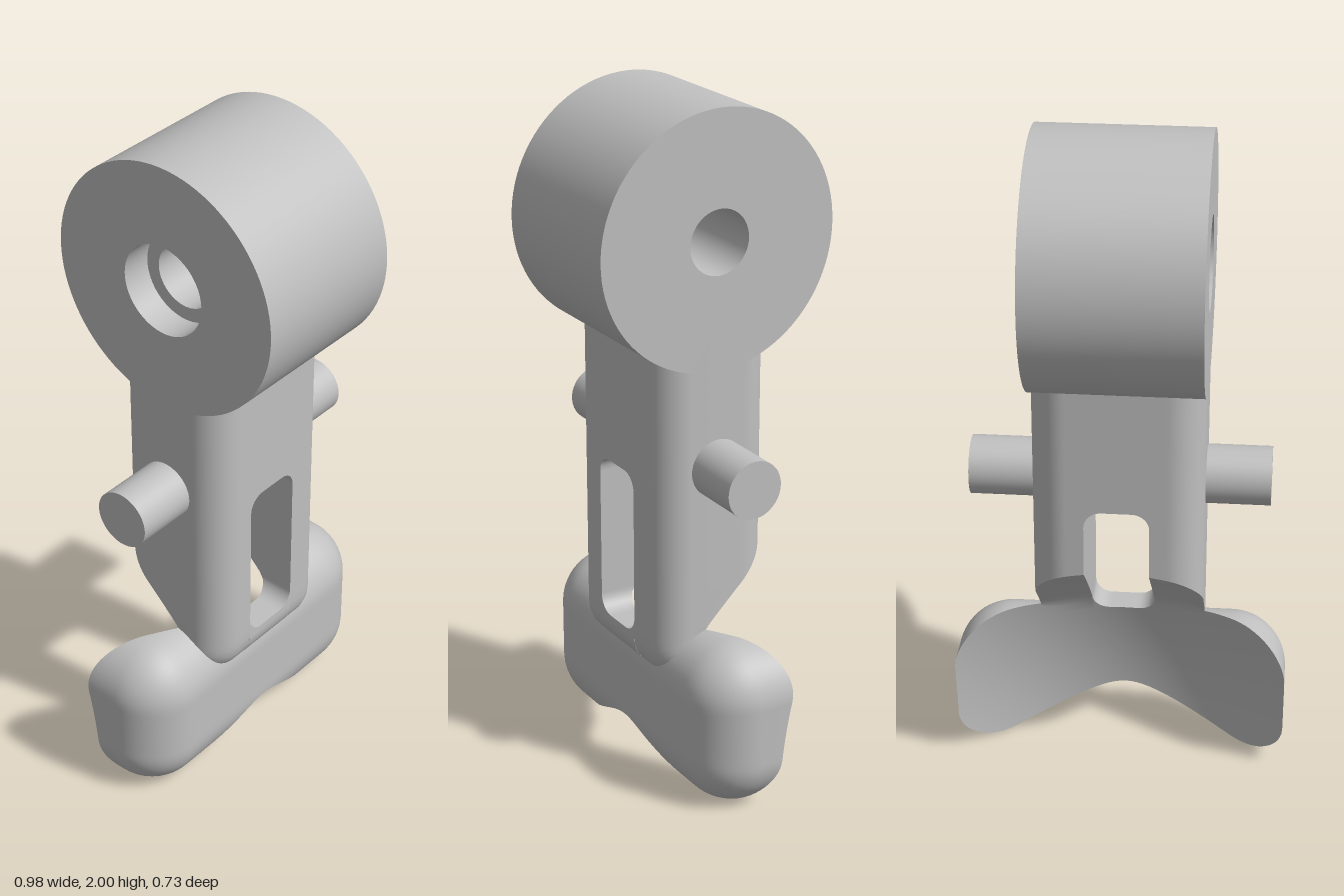
import * as THREE from 'three';
import { toCreasedNormals } from 'three/addons/utils/BufferGeometryUtils.js';

const SLOT = { half: 0.093, lo: 0.445, hi: 0.94, r: 0.05 };
const FOOT = { hx: 0.49, hz: 0.163, lo: -0.013, hi: 0.49, r: 0.163 };
const SHANK = { hx: 0.245, hz: 0.183, lo: 0.33, hi: 9, r: 0.1 };
const SHANK_TOP = 1.4;

// Concave rear surface, hollowed sideways and leaning back above the foot
const cut = (x, y) =>
  0.168 - 0.35 * y * y - 0.64 * Math.max(0, y - 0.49) - (0.64 - Math.sqrt(0.64 ** 2 - x * x));

// Rounded block helpers
const arc = (r, d) => Math.sqrt(Math.max(0, r * r - d * d));
const insetX = (b, x) => Math.max(0, Math.abs(x) - (b.hx - b.r));
const bottomOf = (b, x) => b.lo + b.r - arc(b.r, insetX(b, x));
const topOf = (b, x) => b.hi - b.r + arc(b.r, insetX(b, x));
const frontOf = (b, x, y) => {
  const qy = Math.max(0, b.lo + b.r - y, y - (b.hi - b.r));
  return b.hz - b.r + arc(b.r, Math.hypot(insetX(b, x), qy));
};
const shankBack = (x) => -(SHANK.hz - SHANK.r) - arc(SHANK.r, insetX(SHANK, x));

// Rounded slot ends
const slotRound = (x) => SLOT.r - arc(SLOT.r, Math.max(0, Math.abs(x) - (SLOT.half - SLOT.r)));
const slotBottom = (x) => SLOT.lo + slotRound(x);
const slotTop = (x) => SLOT.hi - slotRound(x);

// Finds the limit of test() between a failing and a passing value
function limit(bad, good, test) {
  if (test(bad)) return bad;
  for (let i = 0; i < 40; i++) {
    const m = (bad + good) / 2;
    if (test(m)) good = m; else bad = m;
  }
  return good;
}

const ease = (a, b, t) => a + (b - a) * (1 - Math.cos(Math.PI * t)) / 2;

// Normals smoothed below the crease angle (scaled up so small features stay apart)
function crease(geometry, angle = 0.6) {
  geometry.scale(100, 100, 100);
  const g = toCreasedNormals(geometry, angle);
  return g.scale(0.01, 0.01, 0.01);
}

// Closed solid between a front and a back surface over x0..x1, lo(x)..hi(x)
function slab(x0, x1, lo, hi, front, back, mid, nx = 28) {
  const half = 18, n = half * 2, ring = 2 * n + 2;
  const pos = [], idx = [];
  for (let i = 0; i <= nx; i++) {
    const x = ease(x0, x1, i / nx);
    const a = lo(x), b = hi(x);
    let m = mid ? mid(x, a, b) : (a + b) / 2;
    if (m < a + 0.001 || m > b - 0.001) m = (a + b) / 2;
    const ys = [];
    for (let j = 0; j <= n; j++) {
      ys.push(j <= half ? ease(a, m, j / half) : ease(m, b, (j - half) / half));
    }
    for (let j = 0; j <= n; j++) pos.push(x, ys[j], front(x, ys[j]));
    for (let j = n; j >= 0; j--) pos.push(x, ys[j], Math.min(back(x, ys[j]), front(x, ys[j])));
  }
  const quad = (a, b, c, d) => idx.push(a, b, c, a, c, d);
  for (let i = 0; i < nx; i++) {
    for (let k = 0; k < ring; k++) {
      const l = (k + 1) % ring, p = i * ring, q = p + ring;
      quad(p + k, q + k, q + l, p + l);
    }
  }
  const e = nx * ring;
  for (let k = 0; k < n; k++) {
    quad(k, k + 1, 2 * n - k, 2 * n + 1 - k);
    quad(e + 2 * n + 1 - k, e + 2 * n - k, e + k + 1, e + k);
  }
  const g = new THREE.BufferGeometry();
  g.setAttribute('position', new THREE.Float32BufferAttribute(pos, 3));
  g.setIndex(idx);
  return crease(g);
}

export function createModel() {
  const model = new THREE.Group();
  model.name = 'pivotLever';
  const grey = new THREE.MeshStandardMaterial({ color: 0xc0c0c0 });
  grey.name = 'plain grey';
  const add = (name, geometry, parent = model) => {
    const mesh = new THREE.Mesh(geometry, grey);
    mesh.name = name;
    parent.add(mesh);
    return mesh;
  };
  const group = (name) => {
    const g = new THREE.Group();
    g.name = name;
    model.add(g);
    return g;
  };

  // Round head with a through bore, widened on the right side
  const profile = [
    [0.134, -0.245], [0.367, -0.245], [0.367, 0.245], [0.093, 0.245],
    [0.093, -0.155], [0.134, -0.155], [0.134, -0.245],
  ].map(([r, y]) => new THREE.Vector2(r, y));
  const head = new THREE.LatheGeometry(profile, 96).rotateZ(-Math.PI / 2);
  add('head', crease(head)).position.y = 1.633;

  // Side pins
  for (const s of [1, -1]) {
    const pin = new THREE.CylinderGeometry(0.085, 0.085, 0.23, 48).rotateZ(Math.PI / 2);
    add(s > 0 ? 'leftPin' : 'rightPin', pin).position.set(s * 0.315, 0.98, 0);
  }

  // Slotted shank, cut away at the lower back
  const shank = group('shank');
  const sFront = (x, y) => frontOf(SHANK, x, y);
  const sBack = (x, y) => Math.max(shankBack(x), cut(x, y));
  const sSolid = (x) => (y) => sFront(x, y) > cut(x, y);
  const sLow = (x) => limit(bottomOf(SHANK, x), 0.6, sSolid(x));
  const sBend = (x, a, b) => limit(a, b, (y) => cut(x, y) < shankBack(x));
  const top = () => SHANK_TOP;
  add('leftShankSide', slab(SLOT.half, SHANK.hx, sLow, top, sFront, sBack, sBend), shank);
  add('rightShankSide', slab(-SHANK.hx, -SLOT.half, sLow, top, sFront, sBack, sBend), shank);
  add('shankTop', slab(-SLOT.half, SLOT.half, slotTop, top, sFront, sBack), shank);
  add('shankBottom', slab(-SLOT.half, SLOT.half, sLow, slotBottom, sFront, sBack), shank);

  // Wide rounded foot with a hollow back
  const foot = group('foot');
  const fFront = (x, y) => frontOf(FOOT, x, y);
  const fSolid = (x) => (y) => fFront(x, y) > cut(x, y);
  const fLow = (x) => limit(bottomOf(FOOT, x), 0.25, fSolid(x));
  const fHigh = (x) => limit(topOf(FOOT, x), 0.25, fSolid(x));
  const fMid = (x) => Math.min(fHigh(x), slotBottom(x));
  add('leftFootSide', slab(SLOT.half, FOOT.hx, fLow, fHigh, fFront, cut, null, 40), foot);
  add('rightFootSide', slab(-FOOT.hx, -SLOT.half, fLow, fHigh, fFront, cut, null, 40), foot);
  add('footMiddle', slab(-SLOT.half, SLOT.half, fLow, fMid, fFront, cut), foot);

  return model;
}
